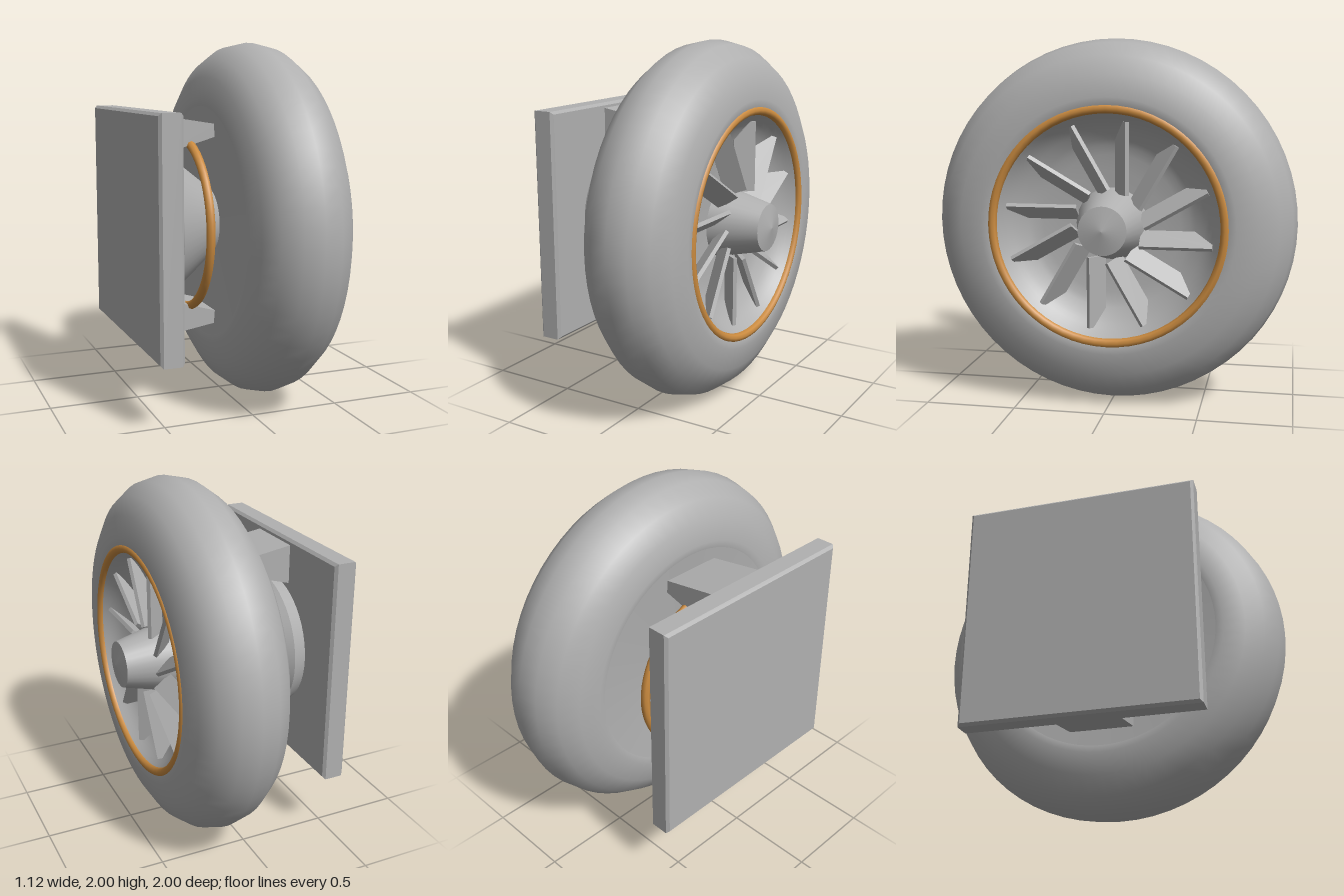
import * as THREE from 'three';

export function createModel() {
  const model = new THREE.Group();
  model.name = 'ductedFanThruster';
  const grey = new THREE.MeshStandardMaterial({ color: 0xb0b0b0 });
  grey.name = 'grey';
  const orange = new THREE.MeshStandardMaterial({ color: 0xcc8c40 });
  orange.name = 'orange';

  // everything round turns about the x axis at height 1
  const rotor = new THREE.Group();
  rotor.name = 'thruster';
  rotor.position.y = 1;
  model.add(rotor);

  function add(name, geometry, material = grey, parent = rotor) {
    const mesh = new THREE.Mesh(geometry, material);
    mesh.name = name;
    parent.add(mesh);
    return mesh;
  }

  // revolve [radius, x] points about the x axis
  const turned = (points, segments = 64) =>
    new THREE.LatheGeometry(points.map(([r, x]) => new THREE.Vector2(r, x)), segments).rotateZ(-Math.PI / 2);

  const ring = (radius, x) =>
    new THREE.TorusGeometry(radius, 0.025, 8, 64).rotateY(Math.PI / 2).translate(x, 0, 0);

  // outer duct with an oval cross-section
  const duct = [[0.65, -0.105]];
  for (let i = 0; i <= 8; i++) {
    const a = -Math.PI / 2 + (i * Math.PI) / 8;
    duct.push([0.69 + 0.31 * Math.cos(a), 0.163 + 0.275 * Math.sin(a)]);
  }
  duct.push([0.65, 0.433], [0.61, 0.42]);
  add('duct', turned(duct));

  // concave front bowl and shallow back wall
  const bowl = new THREE.SplineCurve(
    [[0.61, 0.42], [0.56, 0.36], [0.49, 0.31], [0.38, 0.27], [0.1, 0.25]].map(([r, x]) => new THREE.Vector2(r, x)));
  add('bowl', turned(bowl.getPoints(12).map((p) => [p.x, p.y])));
  add('backWall', turned([[0.1, -0.06], [0.65, -0.105]]));

  // trim rings
  add('frontRing', ring(0.63, 0.418), orange);
  add('backRing', ring(0.475, -0.23), orange);

  // hub
  add('hub', turned([[0.2, 0.25], [0.13, 0.53]], 32));
  add('hubCap', turned([[0.13, 0.53], [0, 0.555]], 32));

  // pitched blades with slanted tips
  const outline = new THREE.Shape(
    [[-0.06, 0.17], [0.06, 0.17], [0.06, 0.56], [0.03, 0.56], [-0.06, 0.46]].map(([s, r]) => new THREE.Vector2(s, r)));
  const blade = new THREE.ExtrudeGeometry(outline, { depth: 0.022, bevelEnabled: false })
    .translate(0, 0, -0.011)
    .rotateY(THREE.MathUtils.degToRad(38))
    .translate(0.34, 0, -0.07);
  const blades = new THREE.Group();
  blades.name = 'blades';
  rotor.add(blades);
  for (let i = 0; i < 12; i++) {
    add('blade', blade, grey, blades).rotation.x = (i * Math.PI) / 6;
  }

  // rear cone, widening toward the mounting plate
  add('rearConeRim', turned([[0.38, -0.43], [0.41, -0.35]], 48));
  add('rearCone', turned([[0.41, -0.35], [0.19, -0.07]], 48));

  // upper and lower brackets
  for (const side of [1, -1]) {
    const profile = new THREE.Shape(
      [[-0.425, 0.39], [-0.08, 0.49], [-0.08, 0.555], [-0.425, 0.61]].map(([x, y]) => new THREE.Vector2(x, y * side)));
    add(side > 0 ? 'upperBracket' : 'lowerBracket',
      new THREE.ExtrudeGeometry(profile, { depth: 0.355, bevelEnabled: false }).translate(0, 0, -0.1775));
  }

  // square mounting plate with chamfered edges
  const h = 0.623;
  const square = new THREE.Shape([[-h, -h], [h, -h], [h, h], [-h, h]].map(([a, b]) => new THREE.Vector2(a, b)));
  add('mountingPlate', new THREE.ExtrudeGeometry(square, {
    depth: 0.1, bevelEnabled: true, bevelSize: 0.015, bevelThickness: 0.015, bevelSegments: 1,
  }).rotateY(Math.PI / 2).translate(-0.545, 0, 0));

  return model;
}
